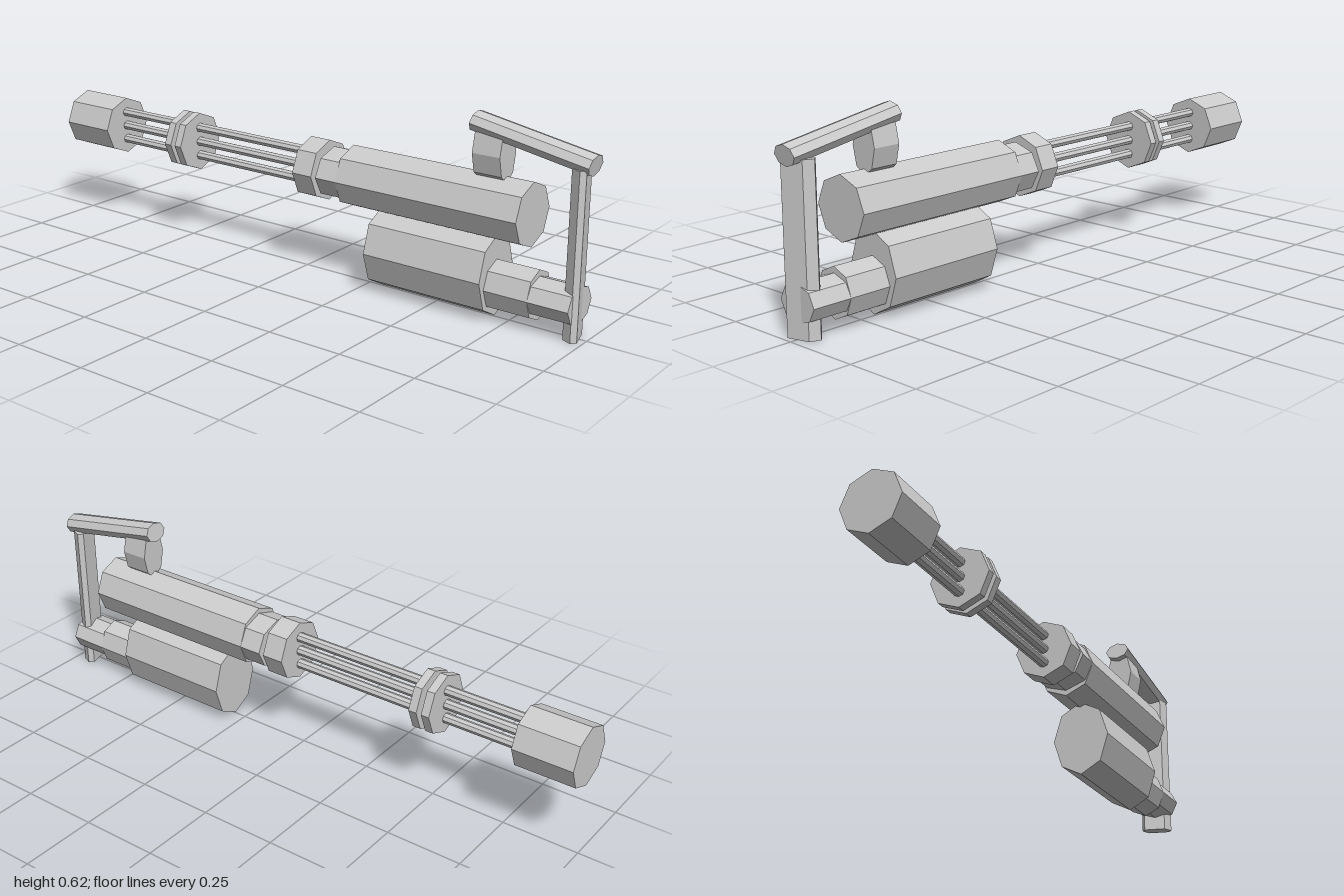
import * as THREE from 'three';

const material = new THREE.MeshStandardMaterial({ color: 0xcccccc, flatShading: true });

export function createModel() {
  const model = new THREE.Group();

  function add(name, geometry) {
    const mesh = new THREE.Mesh(geometry, material);
    mesh.name = name;
    model.add(mesh);
    return mesh;
  }

  // Eight-sided prism along z, with a corner at the top and at each side
  function prism(name, z0, z1, y, rx, ry) {
    const g = new THREE.CylinderGeometry(1, 1, 1, 8);
    g.rotateX(Math.PI / 2).scale(rx, ry, Math.abs(z1 - z0));
    const mesh = add(name, g);
    mesh.position.set(0, y, (z0 + z1) / 2);
    return mesh;
  }

  // Main housing and barrel assembly, all on one axis
  const axisY = 0.338;
  prism('body', 0.18, 0.81, axisY, 0.098, 0.098);
  prism('neck', 0.105, 0.18, axisY, 0.098, 0.08);
  prism('barrelCollar', 0.015, 0.088, axisY, 0.098, 0.098);
  prism('frontClampRing', -0.459, -0.486, axisY, 0.098, 0.098);
  prism('rearClampRing', -0.503, -0.53, axisY, 0.098, 0.098);
  prism('muzzle', -0.805, -1, axisY, 0.098, 0.098);

  // Three stacked barrels
  for (const offset of [-0.048, 0, 0.048]) {
    prism('barrel', 0.12, -0.82, axisY + offset, 0.018, 0.0155);
  }

  // Canister below the body with its stepped connector
  prism('canister', 0.29, 0.7, 0.13, 0.098, 0.127);
  prism('connector', 0.7, 0.842, 0.102, 0.072, 0.078);
  prism('connectorEnd', 0.842, 0.972, 0.102, 0.072, 0.058);

  // Upright post with a flattened, slightly twisted section
  const half = [[-0.035, 0.032], [0.035, 0.013], [0.049, -0.018]];
  const section = [...half, ...half.map(([x, z]) => [-x, -z])];
  const shape = new THREE.Shape(section.map(([x, z]) => new THREE.Vector2(x, -z)));
  const postGeometry = new THREE.ExtrudeGeometry(shape, { depth: 0.507, bevelEnabled: false });
  postGeometry.rotateX(-Math.PI / 2);
  add('post', postGeometry).position.set(0.003, 0, 0.953);

  // Sloping carry handle and the block that holds it
  prism('handleSupport', 0.63, 0.722, 0.5, 0.046, 0.085);
  const handle = prism('handle', 0.612, 0.998, 0.551, 0.043, 0.032);
  handle.rotation.x = THREE.MathUtils.degToRad(10);

  return model;
}
